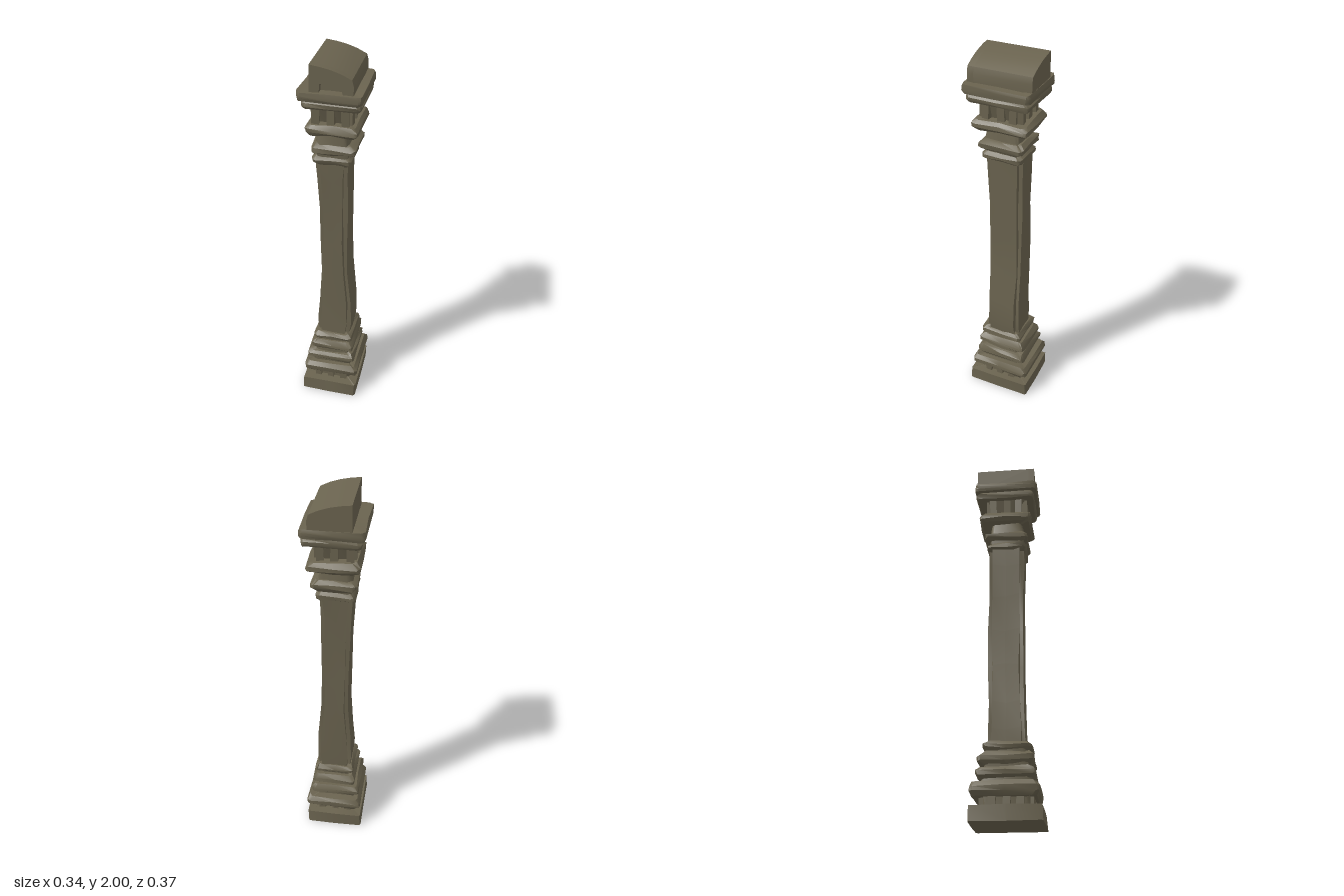
import * as THREE from 'three';
import { toCreasedNormals } from 'three/addons/utils/BufferGeometryUtils.js';

const TWIST = 0.075; // the whole pillar stands slightly turned

function seeded(seed) {
  let s = seed * 7919 + 17;
  return () => {
    s = (s * 16807) % 2147483647;
    return (s / 2147483647) * 2 - 1;
  };
}

// One squared section: extents, corner cut, and how deep the corner point sits (1 = rebate)
function section([x0, x1, z0, z1], cut, depth) {
  const W = (x1 - x0) / 2, D = (z1 - z0) / 2;
  const w = W - TWIST * D, d = D - TWIST * W;
  const cx = (x0 + x1) / 2, cz = (z0 + z1) / 2;
  const mids = [[0, d], [-w, 0], [0, -d], [w, 0]];
  const points = [];
  [[1, 1], [-1, 1], [-1, -1], [1, -1]].forEach(([sx, sz], i) => {
    const corner = [
      [sx * w, sz * (d - cut)],
      [sx * (w - depth * cut), sz * (d - depth * cut)],
      [sx * (w - cut), sz * d],
    ];
    if (sx * sz < 0) corner.reverse();
    points.push(...corner, mids[i]);
  });
  return points.map(([x, z]) => [x + cx, z + cz]);
}

// Skin a stack of sections, with worn, uneven edges
function loft(rings, { cut = 0.015, depth = 0.3, wear = 0.005, sag = 0.005, seed = 1 } = {}) {
  const rnd = seeded(seed);
  for (let i = 0; i < 5; i++) rnd();
  const layers = rings.map(([y, ...ext]) => section(ext, cut, depth).map(([x, z]) =>
    [x + rnd() * wear, Math.max(0, y + rnd() * sag), z + rnd() * wear]));
  const n = layers[0].length, pos = [];
  const tri = (a, b, c) => pos.push(...a, ...b, ...c);
  for (let k = 0; k < layers.length - 1; k++) {
    const lo = layers[k], hi = layers[k + 1];
    for (let i = 0; i < n; i++) {
      const j = (i + 1) % n;
      tri(lo[i], hi[i], hi[j]);
      tri(lo[i], hi[j], lo[j]);
    }
  }
  const centre = (layer) => [0, 1, 2].map((a) => layer.reduce((t, p) => t + p[a], 0) / n);
  const bottom = layers[0], top = layers[layers.length - 1];
  const cb = centre(bottom), ct = centre(top);
  for (let i = 0; i < n; i++) {
    const j = (i + 1) % n;
    tri(cb, bottom[i], bottom[j]);
    tri(ct, top[j], top[i]);
  }
  const geo = new THREE.BufferGeometry();
  geo.setAttribute('position', new THREE.Float32BufferAttribute(pos, 3));
  return toCreasedNormals(geo, 0.6);
}

export function createModel() {
  const stone = new THREE.MeshStandardMaterial({ color: 0x6a634f });
  stone.name = 'weathered stone';
  const model = new THREE.Group();
  model.name = 'pillar';
  const pillar = new THREE.Group();
  pillar.name = 'stonework';
  pillar.rotation.y = TWIST;
  model.add(pillar);

  const add = (name, geo) => {
    const mesh = new THREE.Mesh(geo, stone);
    mesh.name = name;
    pillar.add(mesh);
    return mesh;
  };

  // Plinth
  add('plinth', loft([[0, -0.17, 0.165, -0.187, 0.19], [0.076, -0.167, 0.165, -0.186, 0.185]],
    { cut: 0.01, wear: 0.003, sag: 0.003, seed: 3 }));

  // Projecting courses: bottom, top, extents, edge rounding
  const courses = [
    ['baseCourse1', 0.122, 0.19, -0.165, 0.167, -0.187, 0.172, 0.018],
    ['baseCourse2', 0.208, 0.262, -0.148, 0.143, -0.157, 0.15, 0.016],
    ['baseCourse3', 0.28, 0.34, -0.126, 0.132, -0.15, 0.14, 0.022],
    ['baseCourse4', 0.345, 0.395, -0.112, 0.122, -0.128, 0.128, 0.018],
    ['collar1', 1.468, 1.52, -0.105, 0.103, -0.113, 0.112, 0.02],
    ['collar2', 1.53, 1.585, -0.112, 0.125, -0.13, 0.122, 0.022],
    ['capitalCourse', 1.642, 1.695, -0.134, 0.143, -0.16, 0.148, 0.018],
    ['abacusLower', 1.785, 1.825, -0.146, 0.163, -0.178, 0.165, 0.008],
    ['abacusUpper', 1.828, 1.872, -0.163, 0.17, -0.186, 0.186, 0.004],
  ];
  courses.forEach(([name, y0, y1, x0, x1, z0, z1, r], i) => {
    const ring = (y, s) => [y, x0 + s, x1 - s, z0 + s, z1 - s];
    const h = y1 - y0;
    add(name, loft([ring(y0, r), ring(y0 + h * 0.3, 0), ring(y0 + h * 0.65, 0), ring(y1, r)],
      { cut: 0.018, wear: 0.004, sag: i < 7 ? 0.006 : 0.003, seed: 11 + i }));
  });

  // Recessed necks between the courses
  const necks = [
    ['baseNeck1', 0.07, 0.13, 0.115, 0.115], ['baseNeck2', 0.18, 0.215, 0.12, 0.118],
    ['baseNeck3', 0.255, 0.29, 0.108, 0.106], ['baseNeck4', 0.33, 0.355, 0.1, 0.1],
    ['collarNeck', 1.51, 1.54, 0.088, 0.09], ['capitalNeck', 1.575, 1.65, 0.09, 0.08],
    ['capitalBell', 1.685, 1.79, 0.075, 0.11],
  ];
  necks.forEach(([name, y0, y1, a, b], i) => add(name, loft(
    [[y0, -a, a, -a - 0.01, a + 0.01], [y1, -b, b, -b - 0.01, b + 0.01]],
    { cut: 0.022, wear: 0.004, sag: 0, seed: 31 + i })));

  // Small worn blocks around the lowest neck and the bell
  const blockRows = [['baseBlock', 0.1, 0.06, 0.113, 0.123], ['bellBlock', 1.74, 0.09, 0.094, 0.106]];
  blockRows.forEach(([name, y, h, rx, rz], row) => {
    const rnd = seeded(row + 51);
    for (let side = 0; side < 4; side++) {
      for (const t of [-0.07, 0, 0.07]) {
        const block = add(name, new THREE.BoxGeometry(0.036, h, 0.03));
        const a = side * Math.PI / 2, r = (side % 2 ? rx : rz) - 0.008;
        const u = t + rnd() * 0.006;
        block.position.set(Math.sin(a) * r + Math.cos(a) * u, y, Math.cos(a) * r - Math.sin(a) * u);
        block.rotation.set(0, a + rnd() * 0.12, rnd() * 0.08);
      }
    }
  });

  // Shaft with rebated corners, swelling unevenly toward the foot
  add('shaft', loft([
    [0.38, -0.092, 0.1, -0.104, 0.1],
    [0.46, -0.092, 0.108, -0.104, 0.098],
    [0.6, -0.086, 0.106, -0.102, 0.092],
    [0.8, -0.074, 0.083, -0.104, 0.086],
    [1.0, -0.074, 0.08, -0.105, 0.09],
    [1.2, -0.076, 0.08, -0.104, 0.088],
    [1.38, -0.086, 0.083, -0.106, 0.096],
    [1.48, -0.092, 0.086, -0.108, 0.098],
  ], { cut: 0.02, depth: 1, wear: 0.004, sag: 0.01, seed: 71 }));

  // Broken topping block: one upright side, top curving down to the other
  const crown = [[0.115, 1.86], [0.116, 1.915], [0.108, 1.945], [0.06, 1.968],
    [0.01, 1.984], [-0.04, 1.994], [-0.088, 2.0], [-0.09, 1.86]];
  const hollow = [[-0.045, 1.86], [-0.04, 1.915], [0.05, 1.925], [0.07, 1.86]];
  const slab = (points, depth, z) => {
    const shape = new THREE.Shape(points.map((p) => new THREE.Vector2(...p)));
    const geo = new THREE.ExtrudeGeometry(shape, { depth, bevelEnabled: false });
    return toCreasedNormals(geo.translate(0, 0, z), 0.5);
  };
  add('crownBlock', slab(crown, 0.292, -0.168));
  add('crownFrontLip', slab([...crown, ...hollow], 0.032, 0.124));

  return model;
}
